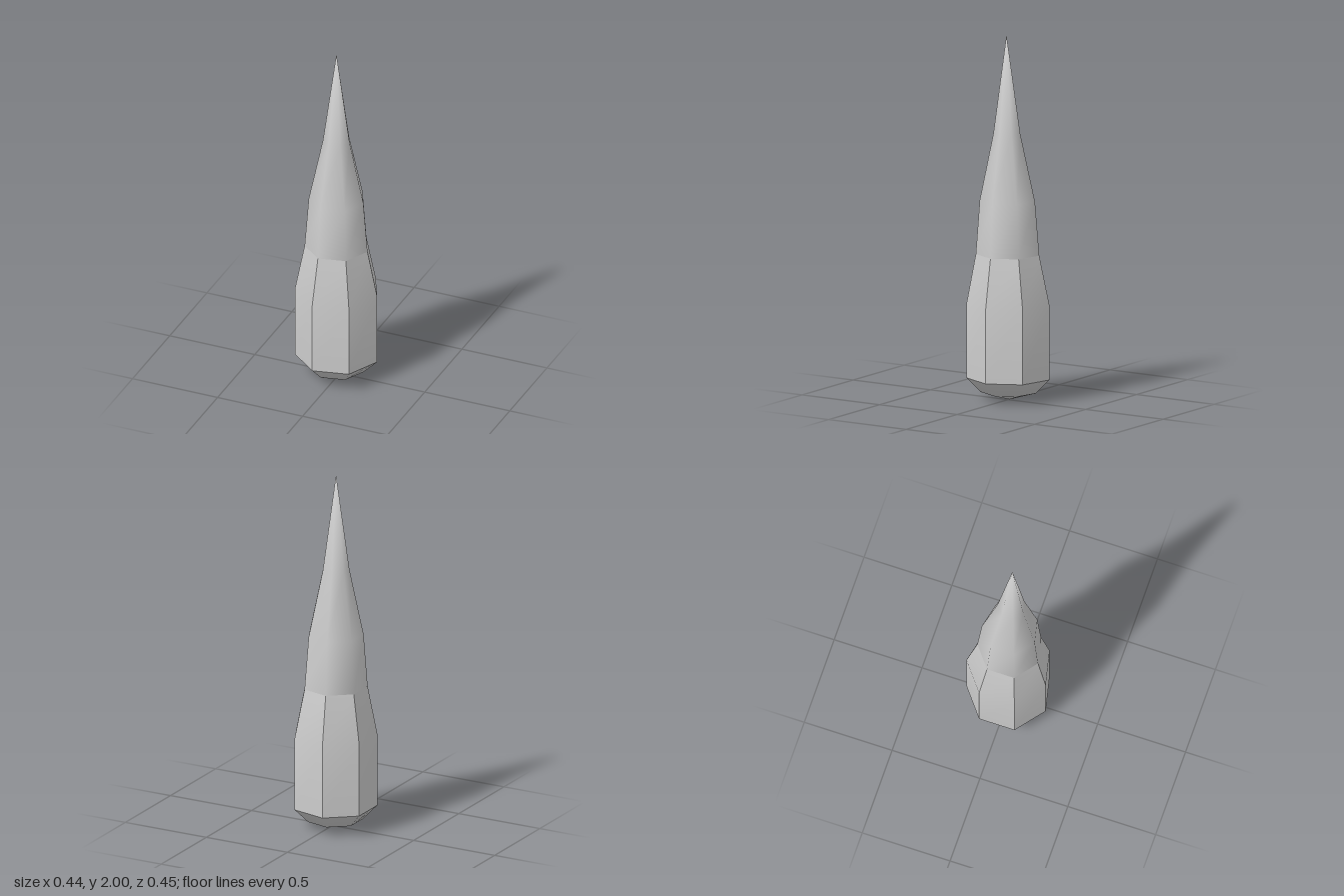
import * as THREE from 'three';
import { mergeVertices, toCreasedNormals } from 'three/addons/utils/BufferGeometryUtils.js';

const SIDES = 7;
const CENTER_X = -0.0115;

// Skin a stack of seven-sided rings, each given as [y, radius, centreZ], bottom to top.
// A radius of zero closes the end in a point.
function loft(rings) {
  const positions = [];
  const index = [];
  for (const [y, radius, z] of rings) {
    for (let k = 0; k < SIDES; k++) {
      const a = (k / SIDES) * Math.PI * 2;
      positions.push(CENTER_X + radius * Math.cos(a), y, z + radius * Math.sin(a));
    }
  }
  for (let i = 0; i < rings.length - 1; i++) {
    for (let k = 0; k < SIDES; k++) {
      const next = (k + 1) % SIDES;
      const a = i * SIDES + k, b = i * SIDES + next;
      const c = a + SIDES, d = b + SIDES;
      if (rings[i][1] > 0) index.push(a, c, b);
      if (rings[i + 1][1] > 0) index.push(b, c, d);
    }
  }
  const geometry = new THREE.BufferGeometry();
  geometry.setAttribute('position', new THREE.Float32BufferAttribute(positions, 3));
  geometry.setIndex(index);
  const merged = mergeVertices(geometry);
  merged.computeVertexNormals();
  return merged;
}

export function createModel() {
  const group = new THREE.Group();
  group.name = 'spike';
  const material = new THREE.MeshStandardMaterial({ color: 0xcccccc });

  const add = (name, geometry) => {
    const mesh = new THREE.Mesh(geometry, material);
    mesh.name = name;
    group.add(mesh);
  };

  // Rounded underside, smooth
  add('base', loft([[0, 0, 0], [0.043, 0.154, 0], [0.122, 0.2315, 0]]));

  // Faceted shaft with sharp vertical edges
  add('shaft', toCreasedNormals(
    loft([[0.122, 0.2315, 0], [0.53, 0.2315, 0], [0.8, 0.177, 0.005]]), 0.5));

  // Smooth tapering point, leaning slightly forward
  add('point', loft([
    [0.8, 0.177, 0.005], [1.095, 0.154, 0.007], [1.46, 0.075, 0.013], [2, 0, 0.018],
  ]));

  return group;
}
